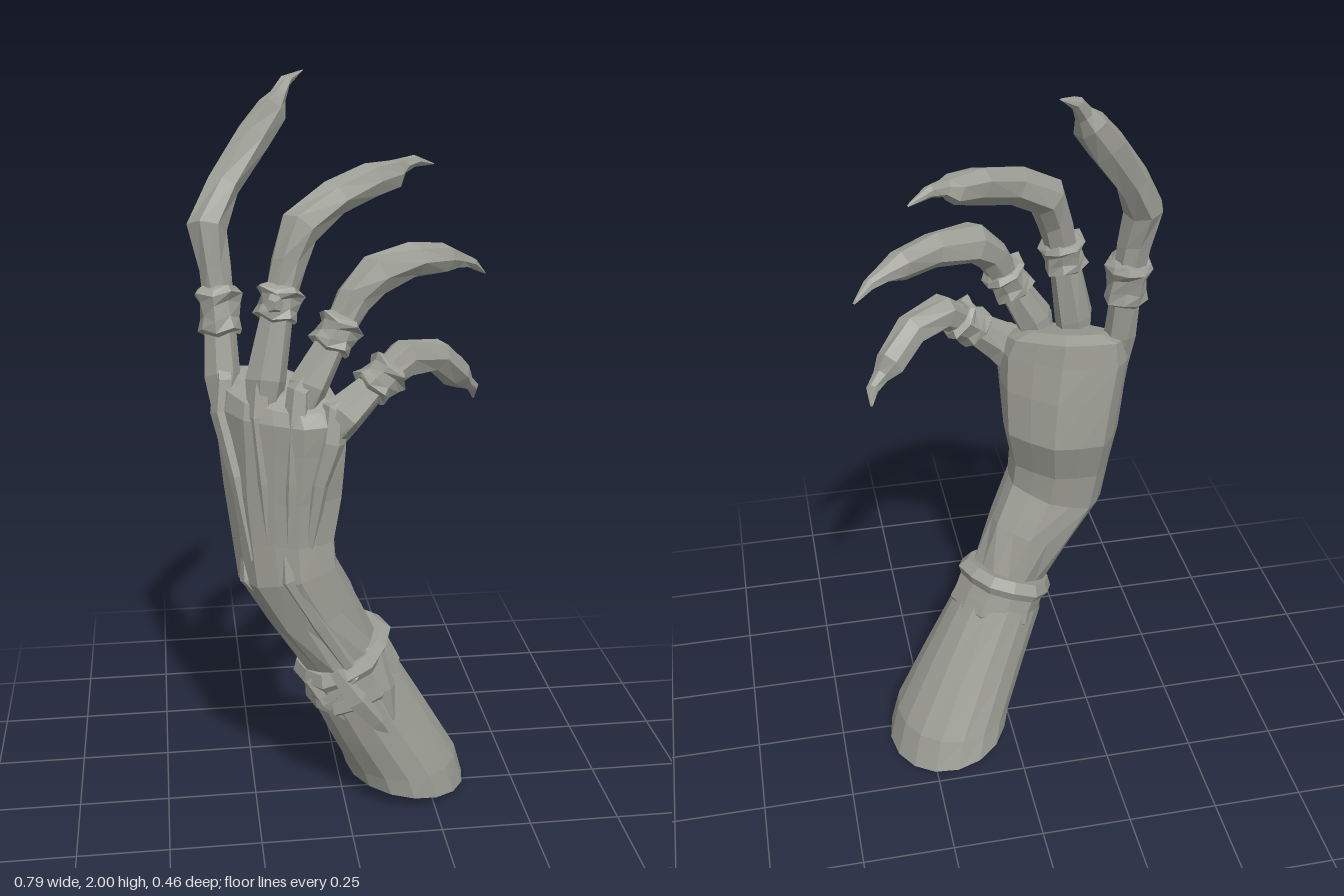
import * as THREE from 'three';

const stone = new THREE.MeshStandardMaterial({ color: 0x9c9d94, side: THREE.DoubleSide });
stone.name = 'greyStone';
stone.flatShading = true;

// Skin a list of rings (bottom to top), optionally closing both ends
function skin(rings, caps = true) {
  const pos = [];
  const tri = (...p) => p.forEach((v) => pos.push(v.x, v.y, v.z));
  const n = rings[0].length;
  for (let i = 0; i < rings.length - 1; i++) {
    for (let j = 0; j < n; j++) {
      const k = (j + 1) % n;
      const a = rings[i][j], b = rings[i][k], c = rings[i + 1][k], d = rings[i + 1][j];
      tri(a, b, c);
      tri(a, c, d);
    }
  }
  if (caps) {
    const first = rings[0], last = rings[rings.length - 1];
    for (let j = 1; j < n - 1; j++) {
      tri(first[0], first[j + 1], first[j]);
      tri(last[0], last[j], last[j + 1]);
    }
  }
  const g = new THREE.BufferGeometry();
  g.setAttribute('position', new THREE.Float32BufferAttribute(pos, 3));
  g.computeVertexNormals();
  return g;
}

// Level slices: [x, y, z, rx, rz, yaw, slopeX, slopeZ], with bony ridges round the edge
function slices(sections, n, ridge = 0) {
  return sections.map(([x, y, z, rx, rz, yaw = 0, sx = 0, sz = 0]) =>
    Array.from({ length: n }, (_, j) => {
      const t = (j / n) * Math.PI * 2;
      const f = 1 + ridge * (j % 2 ? -1 : 0.3);
      const a = rx * f * Math.cos(t), b = -rz * f * Math.sin(t);
      const dx = a * Math.cos(yaw) - b * Math.sin(yaw);
      const dz = a * Math.sin(yaw) + b * Math.cos(yaw);
      return new THREE.Vector3(x + dx, y + dx * sx + dz * sz, z + dz);
    }));
}

// Rings square to a path of [x, y, z, radius]
const side = new THREE.Vector3(0.5, 0, 0.86);
function limb(points, n = 7, jag = 0) {
  const p = points.map((q) => new THREE.Vector3(q[0], q[1], q[2]));
  return skin(p.map((c, i) => {
    const t = p[Math.min(i + 1, p.length - 1)].clone().sub(p[Math.max(i - 1, 0)]).normalize();
    const u = side.clone().addScaledVector(t, -side.dot(t)).normalize();
    const v = t.clone().cross(u);
    return Array.from({ length: n }, (_, j) => {
      const a = (j / n) * Math.PI * 2;
      const r = points[i][3] * (1 + jag * Math.sin(j * 2.4 + i * 1.7));
      return c.clone().addScaledVector(u, Math.cos(a) * r * 0.95).addScaledVector(v, Math.sin(a) * r)
        .addScaledVector(t, jag * 0.08 * Math.cos(j * 2.1));
    });
  }));
}

export function createModel() {
  const hand = new THREE.Group();
  hand.name = 'clawedHand';
  const add = (name, geometry, parent = hand) => {
    const m = new THREE.Mesh(geometry, stone);
    m.name = name;
    parent.add(m);
    return m;
  };

  // Hollow sleeve, from the inner lining round the hem to the top
  add('sleeve', skin(slices([
    [0.02, 0.38, 0.05, 0.09, 0.09, 0, 0.4, -0.25],
    [0.187, 0.04, -0.04, 0.155, 0.17, 0, -0.1, 0.04],
    [0.19, 0.028, -0.045, 0.172, 0.19, 0, -0.15, 0.05],
    [0.17, 0.1, -0.03, 0.165, 0.178, 0, 0],
    [0.095, 0.25, 0.01, 0.142, 0.15, 0, 0.2, -0.12],
    [0.01, 0.42, 0.05, 0.118, 0.122, 0, 0.4, -0.25],
  ], 16), false));

  // Wrist band with rolled edges
  add('wristBand', skin(slices([
    [0.035, 0.365, 0.045, 0.112, 0.118, 0, 0.36, -0.25],
    [0.025, 0.385, 0.048, 0.13, 0.132, 0, 0.38, -0.25],
    [0.015, 0.42, 0.05, 0.122, 0.128, 0, 0.42, -0.25],
    [0, 0.455, 0.053, 0.12, 0.125, 0, 0.42, -0.25],
    [-0.006, 0.478, 0.055, 0.134, 0.136, 0, 0.42, -0.25],
    [-0.016, 0.505, 0.06, 0.116, 0.118, 0, 0.42, -0.25],
  ], 12, 0.04)));

  // Torn strips hanging from the band
  [
    [[-0.04, 0.47, 0.165, 0.02], [0.02, 0.38, 0.165, 0.034], [0.08, 0.3, 0.15, 0.026], [0.13, 0.225, 0.14, 0.003]],
    [[0.08, 0.49, 0.12, 0.025], [0.1, 0.39, 0.13, 0.033], [0.115, 0.31, 0.135, 0.022], [0.13, 0.23, 0.14, 0.003]],
    [[-0.1, 0.43, 0.12, 0.022], [-0.05, 0.37, 0.14, 0.03], [-0.01, 0.31, 0.15, 0.004]],
    [[0.06, 0.51, 0.13, 0.016], [0.01, 0.45, 0.16, 0.026], [-0.06, 0.37, 0.145, 0.02]],
  ].forEach((s) => add('bandStrip', limb(s, 5)));

  // Forearm, wrist and palm
  add('forearmAndPalm', skin(slices([
    [0.03, 0.4, 0.06, 0.09, 0.095, 0, 0.4, -0.2],
    [-0.02, 0.5, 0.07, 0.1, 0.105, 0, 0.4, -0.2],
    [-0.09, 0.63, 0.085, 0.12, 0.112, 0.5, 0.35, -0.1],
    [-0.155, 0.75, 0.1, 0.138, 0.11, 0.6, 0.25, 0],
    [-0.165, 0.85, 0.09, 0.146, 0.11, 0.6],
    [-0.16, 0.97, 0.072, 0.166, 0.13, 0.6],
    [-0.163, 1.1, 0.08, 0.18, 0.122, 0.6],
    [-0.17, 1.19, 0.088, 0.19, 0.112, 0.6, 0, -0.1],
    [-0.175, 1.24, 0.083, 0.172, 0.1, 0.6, 0, -0.25],
    [-0.175, 1.26, 0.083, 0.12, 0.06, 0.6, 0, -0.25],
  ], 14, 0.05)));

  // Forearm bones showing through the skin
  [
    [[0.0, 0.48, 0.16, 0.02], [-0.08, 0.62, 0.18, 0.027], [-0.16, 0.76, 0.195, 0.026], [-0.17, 0.86, 0.19, 0.008]],
    [[-0.08, 0.48, 0.1, 0.02], [-0.18, 0.64, 0.11, 0.025], [-0.26, 0.735, 0.11, 0.028], [-0.27, 0.82, 0.1, 0.008]],
  ].forEach((s) => add('forearmBone', limb(s, 6)));

  // Fingers as [x, y, z, radius] from root to claw tip; the band sits on the third point
  const fingers = {
    firstFinger: [[-0.3, 1.13, 0.045, 0.035], [-0.31, 1.27, 0.025, 0.048], [-0.313, 1.43, 0, 0.04],
      [-0.325, 1.54, -0.01, 0.042], [-0.34, 1.64, -0.025, 0.053], [-0.29, 1.735, -0.07, 0.044],
      [-0.21, 1.85, -0.12, 0.047], [-0.162, 1.915, -0.145, 0.042], [-0.142, 1.945, -0.16, 0.023],
      [-0.12, 1.98, -0.182, 0.016], [-0.08, 2, -0.21, 0.003]],
    secondFinger: [[-0.22, 1.12, 0.12, 0.035], [-0.205, 1.28, 0.12, 0.054], [-0.17, 1.47, 0.105, 0.041],
      [-0.145, 1.57, 0.09, 0.045], [-0.115, 1.65, 0.07, 0.054], [-0.02, 1.71, 0.02, 0.047],
      [0.08, 1.745, -0.045, 0.046], [0.145, 1.755, -0.085, 0.038], [0.17, 1.77, -0.105, 0.021],
      [0.21, 1.778, -0.135, 0.015], [0.26, 1.765, -0.17, 0.003]],
    thirdFinger: [[-0.15, 1.12, 0.15, 0.035], [-0.1, 1.27, 0.15, 0.053], [-0.03, 1.395, 0.135, 0.039],
      [0.015, 1.48, 0.115, 0.046], [0.07, 1.53, 0.09, 0.054], [0.18, 1.552, 0.03, 0.045],
      [0.27, 1.545, -0.025, 0.04], [0.31, 1.535, -0.045, 0.023], [0.35, 1.522, -0.065, 0.015],
      [0.39, 1.49, -0.09, 0.003]],
    fourthFinger: [[-0.1, 1.08, 0.15, 0.045], [-0.015, 1.195, 0.17, 0.056], [0.08, 1.275, 0.145, 0.038],
      [0.145, 1.325, 0.12, 0.05], [0.235, 1.312, 0.07, 0.043], [0.3, 1.25, 0.02, 0.042],
      [0.325, 1.222, 0.008, 0.024], [0.352, 1.2, -0.015, 0.016], [0.36, 1.165, -0.035, 0.003]],
  };
  const knuckles = [[-0.312, 1.23, 0.06], [-0.225, 1.24, 0.145], [-0.135, 1.23, 0.185], [-0.05, 1.18, 0.195]];

  Object.entries(fingers).forEach(([name, path], i) => {
    const finger = new THREE.Group();
    finger.name = name;
    hand.add(finger);
    add('fingerAndClaw', limb(path, 7, 0.08), finger);

    // Ring band with flared rims
    const [root, c, next] = [1, 2, 3].map((s) => new THREE.Vector3(...path[s].slice(0, 3)));
    const t = next.clone().sub(root).normalize();
    const h = i === 0 ? 0.06 : 0.042;
    add('ringBand', limb([[-1, 0.046], [-0.8, 0.059], [-0.3, 0.053], [0.35, 0.053], [0.75, 0.064], [1, 0.05]]
      .map(([s, r]) => [...c.clone().addScaledVector(t, s * h).toArray(), r]), 8, 0.09), finger);

    // Tendon from wrist over the knuckle into the finger
    const k = knuckles[i];
    const w = [-0.25 + i * 0.045, 0.8, 0.15 + 0.02 * Math.min(i, 2)];
    const mid = [(w[0] + k[0]) / 2, 1.02, (w[2] + k[2]) / 2 + 0.006];
    const end = root.clone().lerp(c, 0.45);
    add('tendon', limb([[...w, 0.012], [...mid, 0.026], [k[0], k[1] - 0.05, k[2], 0.036],
      [k[0] + 0.006, k[1] + 0.03, k[2] - 0.012, 0.032], [...end.toArray(), 0.03]], 6), finger);
  });

  // Bead on the second finger's band
  const bead = add('ringBead', new THREE.DodecahedronGeometry(0.026));
  bead.position.set(-0.185, 1.48, 0.15);

  return hand;
}
